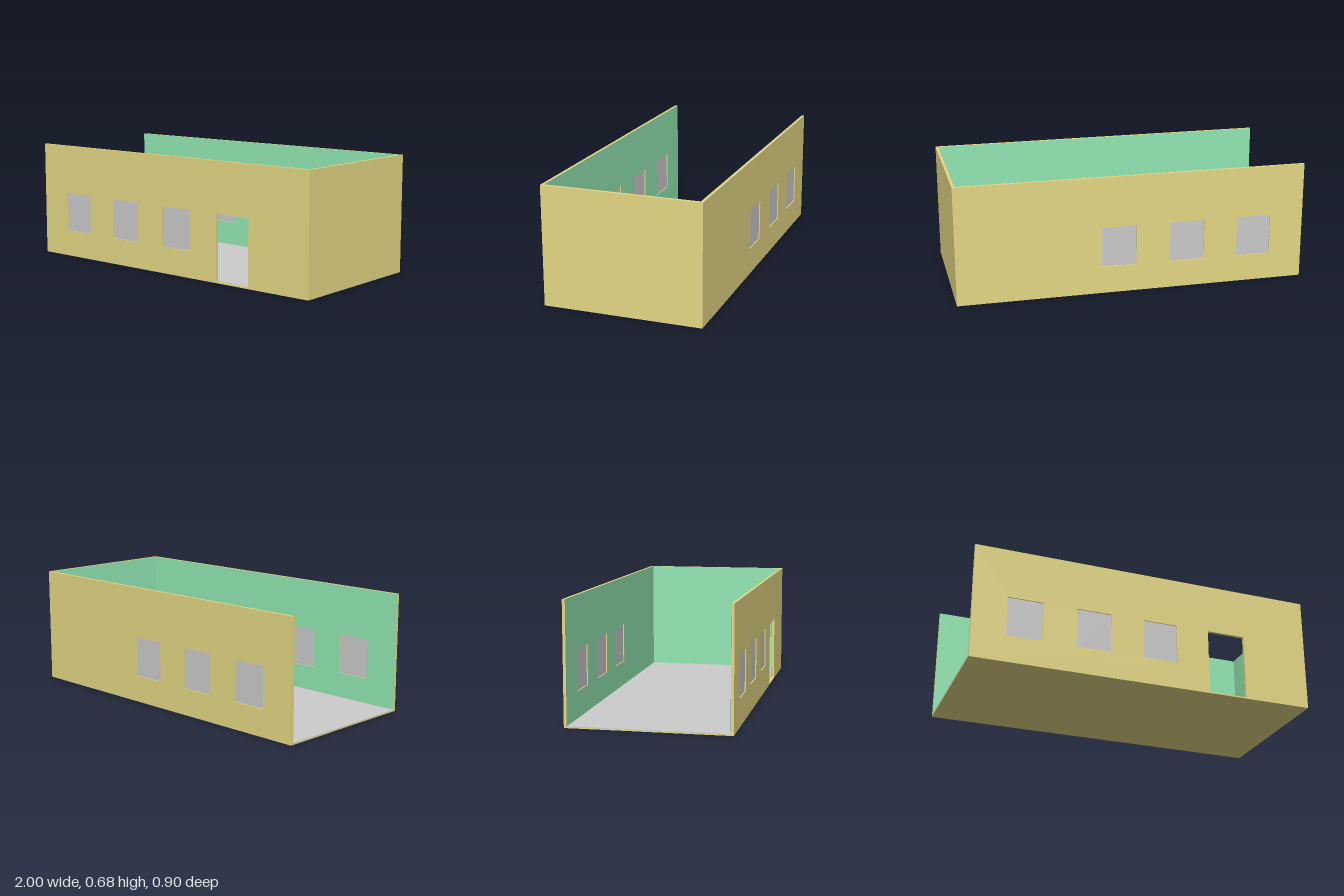
import * as THREE from 'three';

const L = 2, D = 0.896, H = 0.675, T = 0.016, BASE = 0.006;
const outer = new THREE.MeshStandardMaterial({ color: 0xe5d885 });
const inner = new THREE.MeshStandardMaterial({ color: 0x93e9b3, side: THREE.DoubleSide });
const grey = new THREE.MeshStandardMaterial({ color: 0xcccccc });

// openings as [x0, y0, x1, y1]
const windows = [-0.805, -0.41, -0.015].map(x => [x, 0.155, x + 0.2, 0.385]);
const door = [0.38, BASE + 0.002, 0.605, 0.385];

function rect(target, [x0, y0, x1, y1]) {
  target.moveTo(x0, y0).lineTo(x1, y0).lineTo(x1, y1).lineTo(x0, y1).closePath();
  return target;
}

function wallShape(bounds, openings) {
  const shape = rect(new THREE.Shape(), bounds);
  shape.holes = openings.map(o => rect(new THREE.Path(), o));
  return shape;
}

function add(parent, name, geometry, material, x = 0, y = 0, z = 0) {
  const mesh = new THREE.Mesh(geometry, material);
  mesh.name = name;
  mesh.position.set(x, y, z);
  parent.add(mesh);
  return mesh;
}

const box = (w, h, d) => new THREE.BoxGeometry(w, h, d);

// long wall with openings, inside lining and window panes; side is +1 front, -1 back
function longWall(name, side, openings) {
  const wall = new THREE.Group();
  wall.name = name;
  const mid = side * (D / 2 - T / 2);
  add(wall, 'wallShell', new THREE.ExtrudeGeometry(
    wallShape([-L / 2, BASE, L / 2, H], openings), { depth: T, bevelEnabled: false }),
  outer, 0, 0, mid - T / 2);
  add(wall, 'wallLining', new THREE.ShapeGeometry(
    wallShape([-L / 2, BASE, L / 2 - T, H], openings)),
  inner, 0, 0, mid - side * (T / 2 + 0.001));
  for (const [x0, y0, x1, y1] of windows) {
    add(wall, 'windowPane', box(x1 - x0, y1 - y0, 0.004), grey, (x0 + x1) / 2, (y0 + y1) / 2, mid);
  }
  return wall;
}

export function createModel() {
  const model = new THREE.Group();
  model.name = 'openBuilding';

  // base and floor
  add(model, 'base', box(L, BASE, D), outer, 0, BASE / 2, 0);
  add(model, 'floor', box(L - T, 0.004, D - 2 * T), grey, -T / 2, BASE + 0.002, 0);

  // long walls
  model.add(longWall('frontWall', 1, [...windows, door]));
  model.add(longWall('backWall', -1, windows));

  // closed end; the opposite end stays open
  const h = H - BASE;
  add(model, 'endWall', box(T, h, D - 2 * T), outer, L / 2 - T / 2, BASE + h / 2, 0);
  const lining = add(model, 'endLining', new THREE.PlaneGeometry(D - 2 * T, h), inner,
    L / 2 - T - 0.001, BASE + h / 2, 0);
  lining.rotation.y = -Math.PI / 2;

  return model;
}
